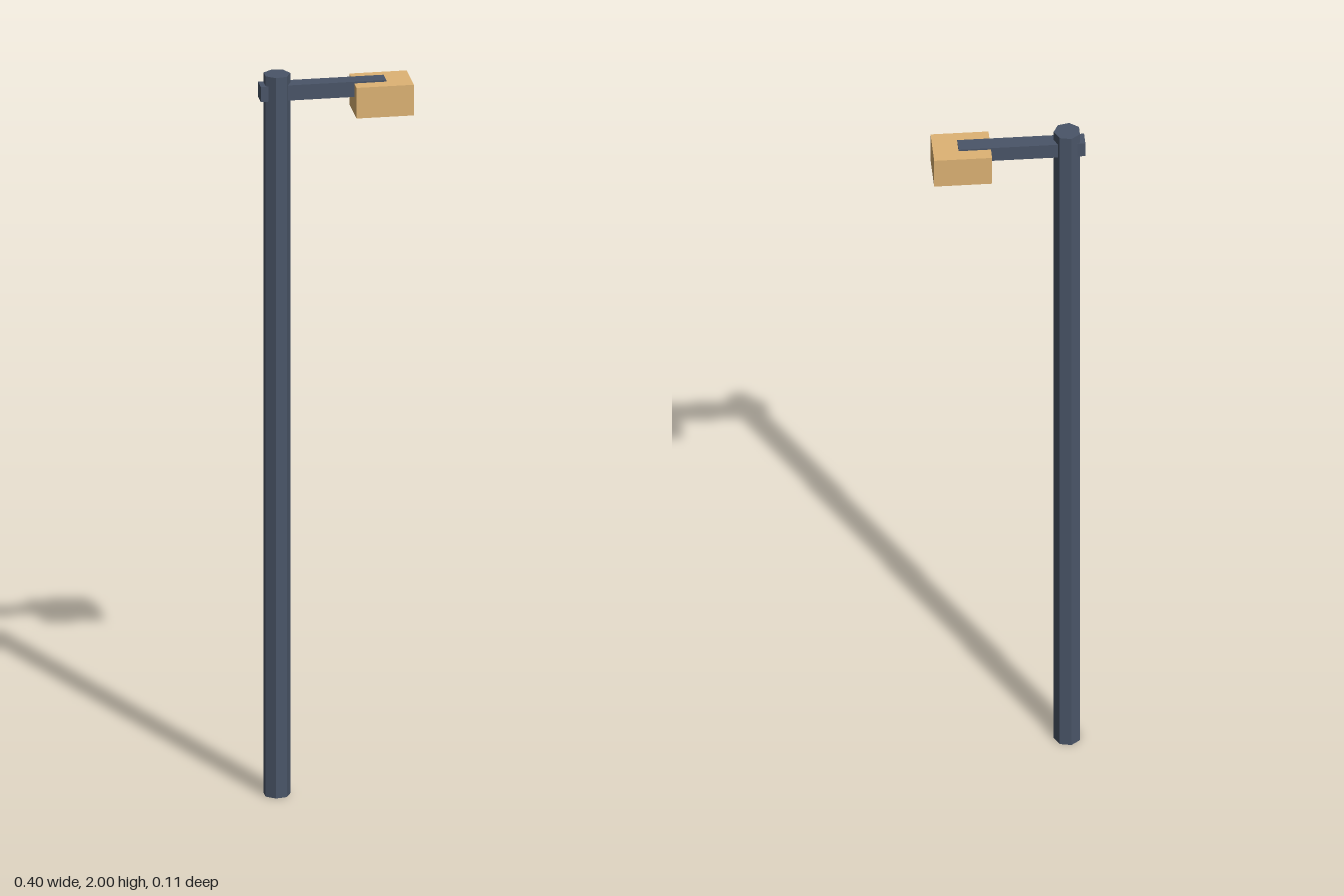
import * as THREE from 'three';

const metal = new THREE.MeshStandardMaterial({ color: 0x4a5568, flatShading: true });
const lamp = new THREE.MeshStandardMaterial({ color: 0xdeb374, flatShading: true });

function addPart(group, name, geometry, material, x, y) {
  const mesh = new THREE.Mesh(geometry, material);
  mesh.name = name;
  mesh.position.set(x, y, 0);
  group.add(mesh);
  return mesh;
}

export function createModel() {
  const group = new THREE.Group();
  group.name = 'streetLamp';

  // Seven-sided pole with one corner pointing along the arm
  const poleGeometry = new THREE.CylinderGeometry(0.0357, 0.0357, 2, 7).rotateY(Math.PI / 2);
  addPart(group, 'pole', poleGeometry, metal, -0.154, 1);

  // Square arm passing through the top of the pole
  addPart(group, 'arm', new THREE.BoxGeometry(0.333, 0.042, 0.042), metal, -0.0335, 1.952);

  // Lamp head, with the arm let into its top
  addPart(group, 'lampHead', new THREE.BoxGeometry(0.152, 0.085, 0.114), lamp, 0.124, 1.926);

  return group;
}
